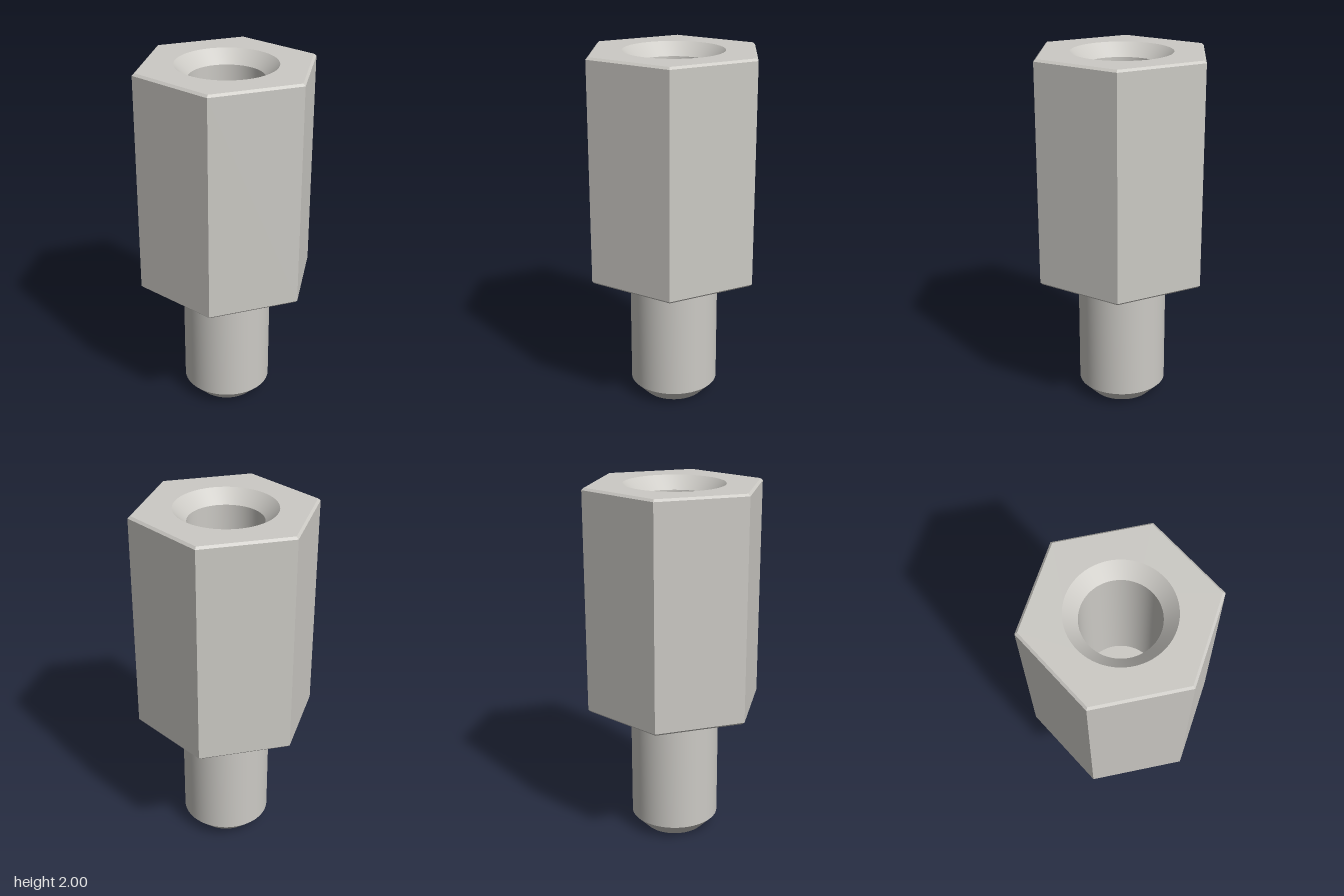
import * as THREE from 'three';
import { toCreasedNormals } from 'three/addons/utils/BufferGeometryUtils.js';

const STUD_R = 0.248, BORE_R = 0.203, SINK_R = 0.275;
const HEX_R = 0.504, CHAMFER = 0.014;
const BODY_Y = 0.757, TOP_Y = 2, BORE_Y = 1.1;

// Revolve a profile of [radius, y] pairs, keeping sharp edges crisp
function revolve(profile, segments) {
  const points = profile.map(([r, y]) => new THREE.Vector2(r, y));
  // start on +x so that the hexagon has corners at the left and right
  const geometry = new THREE.LatheGeometry(points, segments, Math.PI / 2);
  return toCreasedNormals(geometry, Math.PI / 7);
}

export function createModel() {
  const group = new THREE.Group();
  const steel = new THREE.MeshStandardMaterial({ color: 0xcccac5 });
  steel.name = 'steel';

  const add = (name, geometry) => {
    const mesh = new THREE.Mesh(geometry, steel);
    mesh.name = name;
    group.add(mesh);
    return mesh;
  };

  // Hexagonal body: underside, lower chamfer, sides, upper chamfer
  const innerR = HEX_R - CHAMFER;
  add('hexBody', revolve([
    [0, BODY_Y], [innerR, BODY_Y], [HEX_R, BODY_Y + 0.012],
    [HEX_R, TOP_Y - 0.012], [innerR, TOP_Y],
  ], 6));

  // Top face with the round opening
  const corners = Array.from({ length: 6 }, (_, i) => new THREE.Vector2(
    innerR * Math.cos(i * Math.PI / 3), innerR * Math.sin(i * Math.PI / 3)));
  const face = new THREE.Shape(corners);
  face.holes.push(new THREE.Path().absarc(0, 0, SINK_R, 0, Math.PI * 2, true));
  const top = add('topFace', new THREE.ShapeGeometry(face, 32));
  top.rotation.x = -Math.PI / 2;
  top.position.y = TOP_Y;

  // Countersunk blind bore
  add('bore', revolve([
    [SINK_R, TOP_Y], [BORE_R, TOP_Y - 0.072], [BORE_R, BORE_Y], [0, BORE_Y],
  ], 64));

  // Stud with a chamfered tip
  add('stud', revolve([
    [0, 0], [0.172, 0], [STUD_R, 0.078], [STUD_R, BODY_Y],
  ], 64));

  return group;
}
